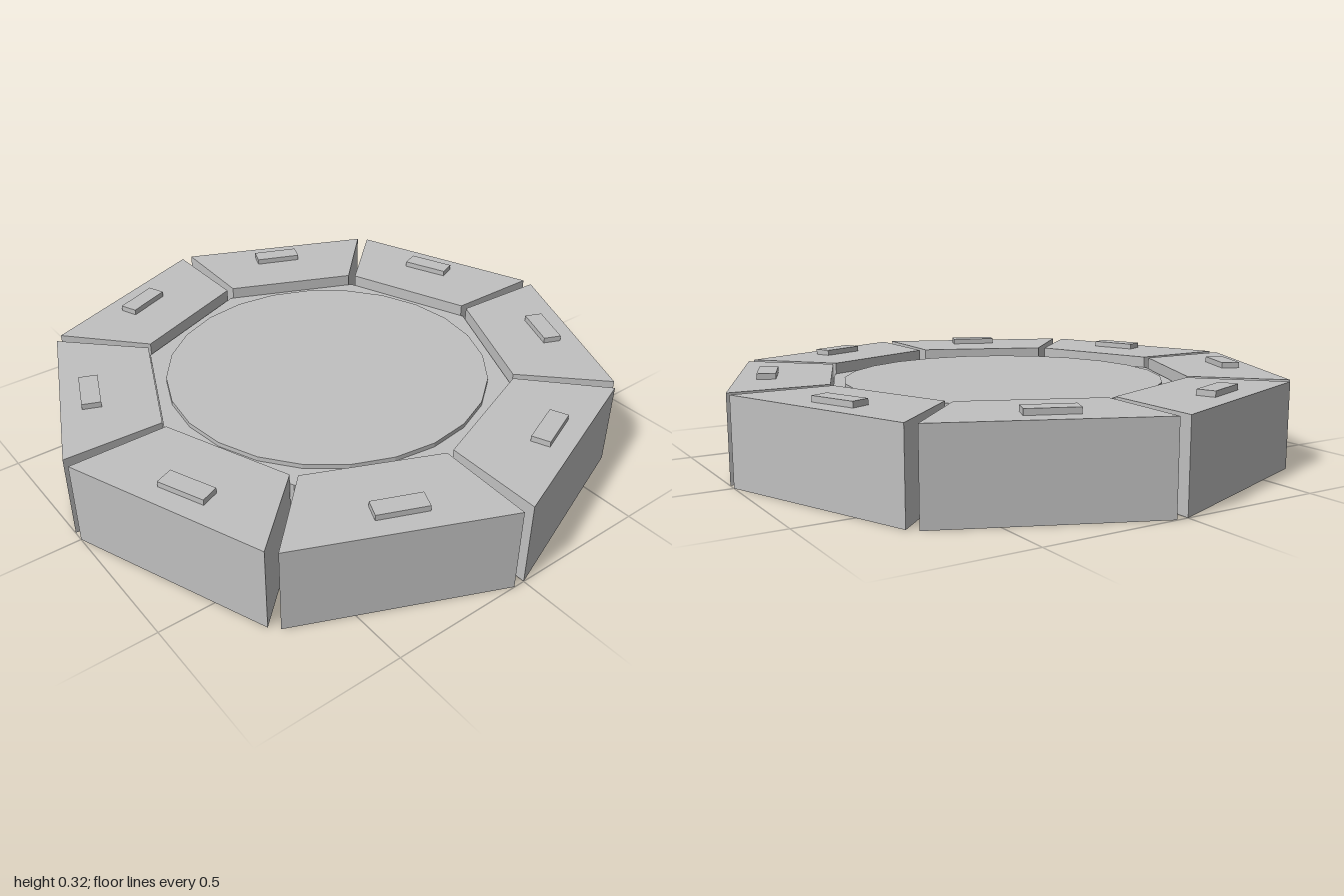
import * as THREE from 'three';

const SIDES = 8;
const STEP = (Math.PI * 2) / SIDES;
const GAP = 0.04; // angle left open between neighbouring segments

// Upright prism from plan points [x, z], between two heights
function prism(points, bottom, top) {
  const shape = new THREE.Shape(points.map(([x, z]) => new THREE.Vector2(x, z)));
  const geometry = new THREE.ExtrudeGeometry(shape, { depth: top - bottom, bevelEnabled: false });
  return geometry.rotateX(Math.PI / 2).translate(0, top, 0);
}

const polar = (radius, angle) => [radius * Math.cos(angle), radius * Math.sin(angle)];

export function createModel() {
  const model = new THREE.Group();
  model.name = 'octagonalTable';
  const grey = new THREE.MeshStandardMaterial({ color: 0xc0c0c0, flatShading: true });
  grey.name = 'plain grey';

  const add = (name, geometry, parent = model) => {
    const mesh = new THREE.Mesh(geometry, grey);
    mesh.name = name;
    parent.add(mesh);
    return mesh;
  };

  // Recessed octagonal centre
  const corners = Array.from({ length: SIDES }, (_, i) => polar(0.655, i * STEP + GAP / 2));
  add('centrePlatform', prism(corners, 0.03, 0.26));

  // Thin round top on the platform
  add('centreDisc', new THREE.CylinderGeometry(0.57, 0.57, 0.016, 24).translate(0, 0.268, 0));

  // Ring of wedge segments, each with a small raised pad
  const wedge = prism(
    [polar(0.655, GAP), polar(1, GAP), polar(1, STEP), polar(0.655, STEP)], 0, 0.3);
  const pad = new THREE.BoxGeometry(0.065, 0.02, 0.17);
  for (let i = 0; i < SIDES; i++) {
    const station = new THREE.Group();
    station.name = `station${i + 1}`;
    station.rotation.y = -i * STEP;
    add('segment', wedge, station);
    const plate = add('pad', pad, station);
    const [x, z] = polar(0.83, STEP / 2);
    plate.position.set(x, 0.31, z);
    plate.rotation.y = -STEP / 2;
    model.add(station);
  }
  return model;
}
